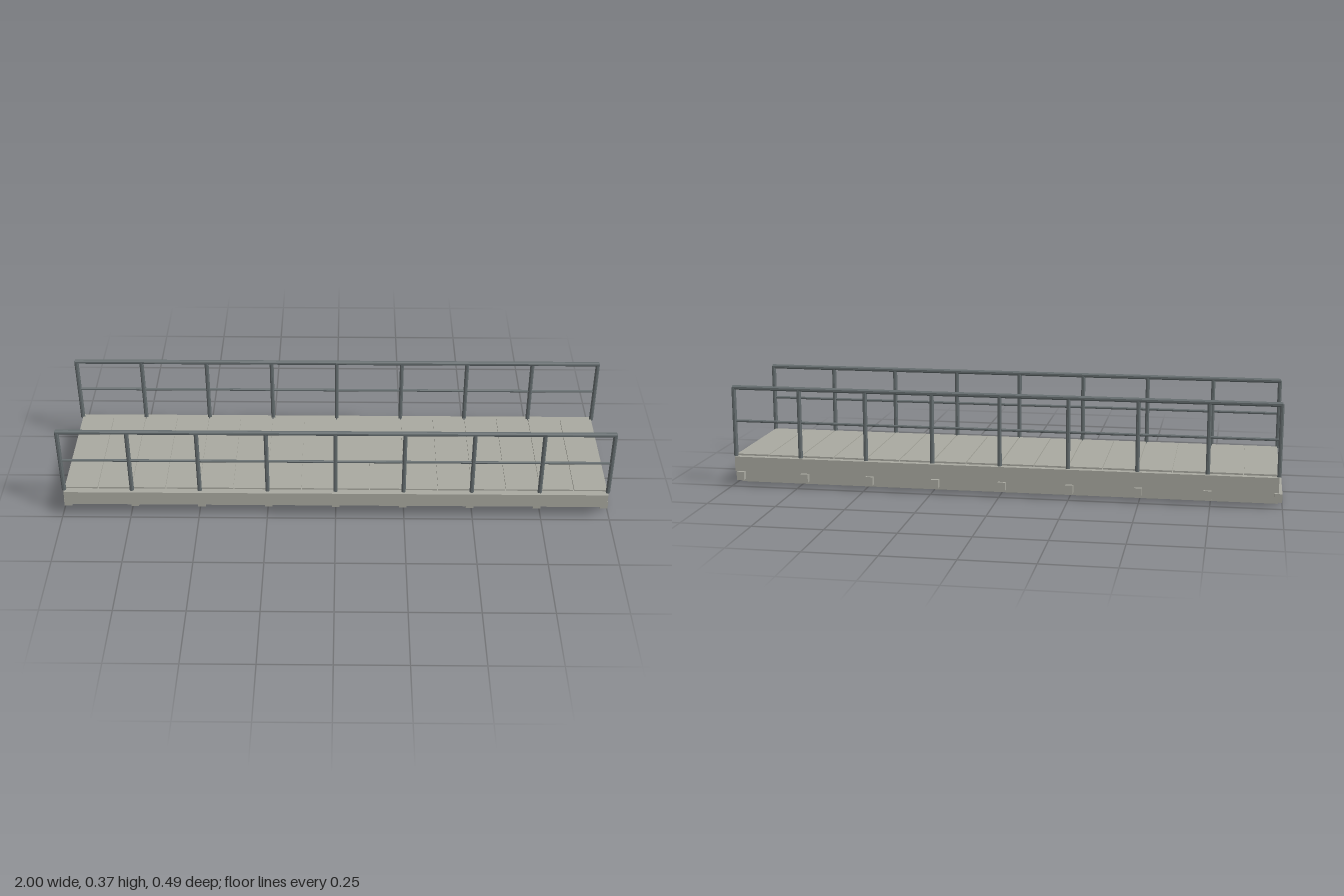
import * as THREE from 'three';

export function createModel() {
  const bridge = new THREE.Group();
  bridge.name = 'footbridge';
  const concrete = new THREE.MeshStandardMaterial({ color: 0xa9a9a0 });
  concrete.name = 'concreteGrey';
  const steel = new THREE.MeshStandardMaterial({ color: 0x656d6f, flatShading: true });
  steel.name = 'darkSteel';

  const LENGTH = 1.972, BAYS = 8, BAY = LENGTH / BAYS, END = LENGTH / 2;

  function box(name, w, y0, y1, d, x, z) {
    const mesh = new THREE.Mesh(new THREE.BoxGeometry(w, y1 - y0, d), concrete);
    mesh.name = name;
    mesh.position.set(x, (y0 + y1) / 2, z);
    bridge.add(mesh);
  }

  // Eight-sided bar with flats facing along the axes
  function bar(name, radius, length) {
    const geometry = new THREE.CylinderGeometry(radius, radius, length, 8);
    geometry.rotateY(Math.PI / 8);
    const mesh = new THREE.Mesh(geometry, steel);
    mesh.name = name;
    return mesh;
  }

  // Deck slab with raised planks
  box('deckSlab', LENGTH, 0.057, 0.111, 0.492, 0, 0);
  const planks = BAYS * 2, pitch = LENGTH / planks;
  for (let i = 0; i < planks; i++) {
    box('deckPlank', pitch - 0.004, 0.111, 0.117, 0.444, -END + (i + 0.5) * pitch, 0);
  }

  // Lengthwise girders
  for (const side of [-1, 1]) box('girder', LENGTH, 0, 0.057, 0.032, 0, side * 0.159);

  // Cross beams under every post line
  for (let i = 0; i <= BAYS; i++) {
    box('crossBeam', 0.028, 0.01, 0.041, 0.394, -END + i * BAY, 0);
  }

  // Railings on both sides
  for (const side of [-1, 1]) {
    const railing = new THREE.Group();
    railing.name = side > 0 ? 'frontRailing' : 'backRailing';
    railing.position.z = side * 0.2285;
    for (let i = 0; i <= BAYS; i++) {
      const post = bar('post', 0.008, 0.257);
      post.position.set(-END + i * BAY, 0.2395, 0);
      railing.add(post);
    }
    for (const [name, radius, y] of [['handrail', 0.0085, 0.367], ['middleRail', 0.005, 0.243]]) {
      const rail = bar(name, radius, LENGTH + 0.008);
      rail.rotation.z = Math.PI / 2;
      rail.position.y = y;
      railing.add(rail);
    }
    bridge.add(railing);
  }

  return bridge;
}
